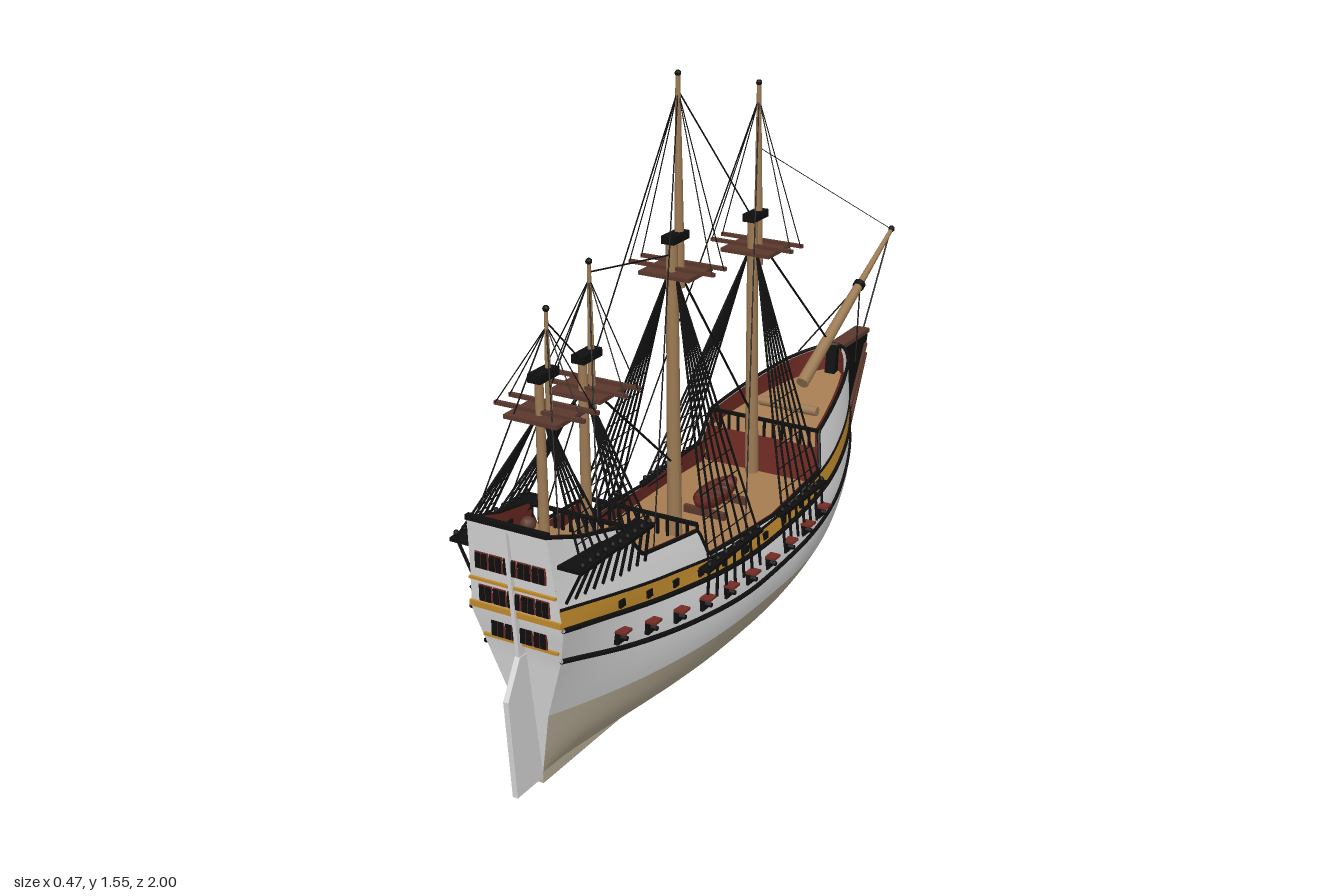
import * as THREE from 'three';
import { mergeGeometries } from 'three/addons/utils/BufferGeometryUtils.js';

const mat = (name, color, side = THREE.DoubleSide) => Object.assign(new THREE.MeshStandardMaterial({ color, side }), { name });
const M = {
  white: mat('hull white', 0xd9d9d9), bottom: mat('bottom beige', 0xb9ae97), gold: mat('gold', 0xc08a2c),
  black: mat('tarred black', 0x100f0f), red: mat('dark red', 0x732c25), deck: mat('deck tan', 0xa67d52),
  wood: mat('spar wood', 0x9c7a54), brown: mat('dark brown', 0x5a382d),
};
const V = (x, y, z) => new THREE.Vector3(x, y, z);
const lerp = THREE.MathUtils.lerp, clamp = THREE.MathUtils.clamp;

// Interpolate through [t, value] pairs; smooth = cubic, otherwise straight
function curve(p, smooth = true) {
  const slope = i => {
    const a = p[Math.max(0, i - 1)], b = p[Math.min(p.length - 1, i + 1)];
    return (b[1] - a[1]) / (b[0] - a[0]);
  };
  return t => {
    t = clamp(t, p[0][0], p[p.length - 1][0]);
    let i = 0;
    while (i < p.length - 2 && t > p[i + 1][0]) i++;
    const h = p[i + 1][0] - p[i][0], s = (t - p[i][0]) / h, y0 = p[i][1], y1 = p[i + 1][1];
    if (!smooth) return lerp(y0, y1, s);
    const s2 = s * s, s3 = s2 * s;
    return y0 * (2 * s3 - 3 * s2 + 1) + y1 * (3 * s2 - 2 * s3) + h * (slope(i) * (s3 - 2 * s2 + s) + slope(i + 1) * (s3 - s2));
  };
}

// Hull lines: stem and stern profile, greatest beam and transom width by height
const stemZ = curve([[0.03, -0.29], [0.06, -0.37], [0.12, -0.46], [0.2, -0.54], [0.4, -0.61], [0.6, -0.64], [0.7, -0.645]]);
const sternZ = curve([[0.03, 0.88], [0.36, 0.925], [0.45, 0.945], [0.69, 0.972]], false);
const beam = curve([[0.03, 0.015], [0.05, 0.07], [0.11, 0.15], [0.19, 0.197], [0.25, 0.21], [0.32, 0.209], [0.4, 0.195], [0.5, 0.176], [0.6, 0.152], [0.7, 0.132]]);
const transomW = curve([[0.03, 0.008], [0.2, 0.045], [0.36, 0.1], [0.45, 0.123], [0.55, 0.113], [0.7, 0.104]], false);
function widthU(u, y) {
  const low = clamp((0.32 - y) / 0.29, 0, 1);
  const s = clamp(u / lerp(0.37, 0.5, low), 0, 1);
  const bow = Math.pow(1 - (1 - s) * (1 - s), lerp(0.55, 0.85, low));
  const a = clamp((u - 0.5) / 0.5, 0, 1);
  return lerp(beam(y) * bow, transomW(y), Math.pow(a, 2.2));
}
const zAt = (u, y) => lerp(stemZ(y), sternZ(y), u);
const uOf = (z, y) => clamp((z - stemZ(y)) / (sternZ(y) - stemZ(y)), 0, 1);
const half = (z, y) => widthU(uOf(z, y), y);
const nomZ = u => lerp(-0.63, 0.955, u), nomU = z => (z + 0.63) / 1.585;

// Lines along the hull side, by z
const lowWale = curve([[-0.63, 0.43], [-0.45, 0.365], [-0.2, 0.3], [0.2, 0.27], [0.5, 0.288], [0.75, 0.32], [0.955, 0.365]]);
const goldLo = curve([[-0.63, 0.462], [-0.4, 0.41], [-0.2, 0.378], [0.2, 0.358], [0.6, 0.394], [0.955, 0.455]]);
const goldHi = curve([[-0.63, 0.527], [-0.4, 0.462], [-0.2, 0.426], [0.2, 0.4], [0.6, 0.446], [0.955, 0.505]]);
const sheerPts = [[-0.63, 0.6], [-0.5, 0.583], [-0.35, 0.555], [-0.2, 0.525], [-0.17, 0.432], [0.1, 0.41], [0.42, 0.43], [0.45, 0.502], [0.66, 0.525], [0.72, 0.615], [0.85, 0.645], [0.955, 0.685]];
const sheer = curve(sheerPts, false);
const deckY = z => z < -0.2 ? lerp(0.475, 0.535, (-0.2 - z) / 0.43) : z < 0.435 ? 0.37 : z < 0.69 ? 0.465 : lerp(0.555, 0.6, (z - 0.69) / 0.27);
const US = [...Array.from({ length: 61 }, (_, i) => Math.pow(i / 60, 1.5)), ...sheerPts.map(p => nomU(p[0]))].sort((a, b) => a - b);

// Grid surface from a function of column and row
function grid(nu, nv, fn, flip) {
  const pos = [], idx = [];
  for (let i = 0; i <= nu; i++) for (let j = 0; j <= nv; j++) pos.push(...fn(i, j / nv));
  for (let i = 0; i < nu; i++) for (let j = 0; j < nv; j++) {
    const a = i * (nv + 1) + j, b = a + nv + 1;
    flip ? idx.push(a, b, a + 1, a + 1, b, b + 1) : idx.push(a, a + 1, b, a + 1, b + 1, b);
  }
  const g = new THREE.BufferGeometry();
  g.setAttribute('position', new THREE.Float32BufferAttribute(pos, 3));
  g.setIndex(idx);
  g.computeVertexNormals();
  return g;
}

export function createModel() {
  const ship = new THREE.Group();
  ship.name = 'sailingShip';
  const add = (name, geo, m) => {
    const mesh = new THREE.Mesh(Array.isArray(geo) ? mergeGeometries(geo) : geo, m);
    mesh.name = name;
    ship.add(mesh);
    return mesh;
  };
  const box = (w, h, d, x, y, z) => new THREE.BoxGeometry(w, h, d).translate(x, y, z);
  const spar = (a, b, r0, r1 = r0, n = 12) => {
    const d = b.clone().sub(a);
    return new THREE.CylinderGeometry(r1, r0, d.length(), n)
      .applyQuaternion(new THREE.Quaternion().setFromUnitVectors(V(0, 1, 0), d.clone().normalize()))
      .translate((a.x + b.x) / 2, (a.y + b.y) / 2, (a.z + b.z) / 2);
  };
  const ropes = [];
  const rope = (a, b, r = 0.0022) => ropes.push(spar(a, b, r, r, 5));

  // Hull shell in painted strakes
  const strake = (name, lo, hi, rows, m, inset = 0) => add(name, [1, -1].map(s => grid(US.length - 1, rows, (i, v) => {
    const u = US[i], z = nomZ(u), y = lerp(lo(z), hi(z), v);
    return [s * Math.max(0, widthU(u, y) - inset), y, zAt(u, y) + (inset ? inset * (1 - 2 * u) : 0)];
  }, (s < 0) !== inset > 0)), m);
  strake('lowerHull', () => 0.03, () => 0.2, 12, M.bottom);
  strake('upperHull', () => 0.2, goldLo, 8, M.white);
  strake('goldBand', goldLo, goldHi, 2, M.gold);
  strake('bulwark', goldHi, sheer, 3, M.white);
  strake('bulwarkLining', z => Math.min(deckY(z), sheer(z)) - 0.02, sheer, 2, M.red, 0.01);

  // Wales and cap rail
  for (const [name, line, r] of [['lowerWale', lowWale, 0.007], ['upperWale', goldLo, 0.007], ['goldTrim', goldHi, 0.004], ['capRail', sheer, 0.005]])
    add(name, [1, -1].map(s => new THREE.TubeGeometry(new THREE.CatmullRomCurve3(US.filter((u, i) => i === 0 || u - US[i - 1] > 0.002).map(u => {
      const y = line(nomZ(u));
      return V(s * widthU(u, y), y, zAt(u, y));
    }), false, 'centripetal'), 110, r, 6)), M.black);

  // Transom
  add('transom', grid(24, 2, (i, v) => {
    const y = lerp(0.03, 0.685, i / 24);
    return [lerp(-1, 1, v) * transomW(y), y, sternZ(y)];
  }), M.white);
  const panes = [], frames = [], trims = [];
  for (const [y, xs] of [[0.585, 5], [0.5, 5], [0.412, 4]]) for (let i = 0; i < xs; i++) {
    const x = (i - (xs - 1) / 2) * 0.038;
    for (const k of [-0.0085, 0.0085]) panes.push(box(0.013, 0.036, 0.005, x + k, y, sternZ(y) + 0.005));
    frames.push(box(0.035, 0.041, 0.004, x, y, sternZ(y) + 0.002));
  }
  for (const [y, w, h] of [[0.535, 0.23, 0.006], [0.467, 0.244, 0.014], [0.387, 0.2, 0.007]])
    trims.push(box(w, h, 0.008, 0, y, sternZ(y) + 0.003));
  add('sternWindows', panes, M.black);
  add('sternWindowFrames', frames, M.red);
  add('sternTrim', trims, M.gold);
  add('taffrail', box(0.215, 0.012, 0.014, 0, 0.687, 0.968), M.black);

  // Keel, rudder and beak, cut as plates in the z-y plane
  const plate = (pts, t) => new THREE.ExtrudeGeometry(new THREE.Shape(pts.map(p => new THREE.Vector2(-p[0], p[1]))), { depth: t, bevelEnabled: false })
    .translate(0, 0, -t / 2).rotateY(Math.PI / 2);
  add('keel', box(0.016, 0.036, 1.16, 0, 0.018, 0.3), M.bottom);
  add('rudder', plate([[0.87, 0.015], [0.98, 0.015], [1.0, 0.27], [0.95, 0.36], [0.92, 0.36]], 0.014), M.white);
  add('sternPost', plate([[0.965, 0.66], [0.98, 0.68], [0.95, 0.36], [0.89, 0.03], [0.87, 0.03], [0.92, 0.36]], 0.01), M.white);
  add('beak', plate([[-0.6, 0.6], [-0.81, 0.592], [-0.79, 0.52], [-0.72, 0.385], [-0.6, 0.235], [-0.5, 0.145], [-0.54, 0.25]], 0.03), M.black);
  add('beakPlatform', box(0.045, 0.012, 0.17, 0, 0.598, -0.72), M.brown);
  const headRails = [];
  for (const s of [1, -1]) for (const dy of [0, 0.05])
    headRails.push(spar(V(s * (half(-0.53, 0.43) + 0.003), 0.42 + dy, -0.53), V(s * 0.018, 0.53 + dy * 0.6, -0.79), 0.005, 0.005, 6));
  add('headRails', headRails, M.brown);

  // Decks and bulkheads
  const decks = [[-0.635, -0.2], [-0.205, 0.435], [0.435, 0.69], [0.69, 0.962]].map(([z0, z1], k) => grid(24, 2, (i, v) => {
    const z = lerp(z0, z1, i / 24), y = k === 1 ? 0.37 : deckY(clamp(z, z0 + (k ? 1e-4 : 0), z1 - 1e-4));
    return [lerp(-1, 1, v) * Math.max(0, half(z, y) - 0.006), y, z];
  }));
  add('decks', decks, M.deck);
  add('bulkheads', [[-0.2, 0.37, 0.475], [0.435, 0.37, 0.465], [0.69, 0.465, 0.555]].map(([z, a, b]) => grid(4, 1, (i, v) => {
    const y = lerp(a, b, i / 4);
    return [lerp(-1, 1, v) * (half(z, y) - 0.006), y, z];
  })), M.red);
  const rails = [];
  for (const [z, y] of [[-0.2, 0.475], [0.44, 0.465], [0.695, 0.555]]) {
    const w = half(z, y) - 0.012;
    rails.push(box(w * 2, 0.008, 0.01, 0, y + 0.048, z));
    for (let i = 0; i <= 12; i++) rails.push(box(0.006, 0.048, 0.006, lerp(-w, w, i / 12), y + 0.024, z));
  }
  add('deckRailings', rails, M.black);

  // Deck fittings
  const bars = [box(0.06, 0.012, 0.06, 0, 0.471, 0.545)];
  for (let i = 0; i < 7; i++) bars.push(box(0.11, 0.014, 0.008, 0, 0.376, 0.325 + i * 0.014));
  add('hatchGratings', bars, M.black);
  add('windlass', spar(V(-0.088, 0.515, -0.34), V(0.088, 0.515, -0.34), 0.013), M.wood);
  add('boat', new THREE.SphereGeometry(1, 20, 8, 0, Math.PI * 2, Math.PI / 2, Math.PI / 2).scale(0.038, 0.045, 0.095).translate(0, 0.425, 0.065), M.red);
  add('boatThwarts', [0, 1, 2, 3].map(i => box(0.06, 0.005, 0.01, 0, 0.419, 0.02 + i * 0.03)), M.brown);
  add('boatCradle', [0.01, 0.12].map(z => box(0.12, 0.02, 0.012, 0, 0.38, z)), M.brown);
  add('sternLantern', new THREE.SphereGeometry(0.018, 10, 8).translate(0, 0.66, 0.89), M.brown);

  // Gun ports with raised lids
  const ports = [], lids = [];
  for (const s of [1, -1]) {
    for (let i = 0; i < 10; i++) {
      const z = 0.755 - i * 0.0985, y = lowWale(z) + 0.037, x = half(z, y);
      ports.push(box(0.012, 0.03, 0.03, s * x, y, z), spar(V(s * x, y, z), V(s * (x + 0.022), y, z), 0.007, 0.006, 8));
      lids.push(box(0.028, 0.006, 0.032, s * (x + 0.012), y + 0.018, z));
      const yg = (goldLo(z) + goldHi(z)) / 2;
      ports.push(box(0.01, 0.018, 0.02, s * half(z, yg), yg, z));
    }
  }
  add('gunPorts', ports, M.black);
  add('gunPortLids', lids, M.red);

  // Masts: lower mast, topmast, cap, top platform, crosstrees, shrouds and backstays
  const masts = [
    { name: 'fore', z: -0.13, foot: 0.4, head: 1.11, tz: -0.16, t0: 0.97, t1: 1.445, top: 1.03, r: 0.018, base: [-0.14, 0.08], by: 0.405, n: 7, aft: 0.25 },
    { name: 'main', z: 0.27, foot: 0.37, head: 1.155, tz: 0.235, t0: 1.02, t1: 1.54, top: 1.078, r: 0.019, base: [0.21, 0.45], by: 0.41, n: 7, aft: 0.62 },
    { name: 'mizzen', z: 0.66, foot: 0.46, head: 0.98, tz: 0.625, t0: 0.84, t1: 1.19, top: 0.905, r: 0.014, base: [0.66, 0.78], by: 0.6, n: 5, aft: 0.8 },
    { name: 'bonaventure', z: 0.83, foot: 0.56, head: 0.99, tz: 0.795, t0: 0.85, t1: 1.13, top: 0.905, r: 0.013, base: [0.81, 0.93], by: 0.605, n: 5, aft: 0.93 },
  ];
  for (const m of masts) {
    add(m.name + 'Mast', [spar(V(0, m.foot, m.z), V(0, m.head, m.z), m.r, m.r * 0.75), spar(V(0, m.t0, m.tz), V(0, m.t1, m.tz), m.r * 0.7, m.r * 0.3)], M.wood);
    const zc = (m.z + m.tz) / 2;
    add(m.name + 'Cap', [box(0.034, 0.02, 0.075, 0, m.head - 0.005, zc), new THREE.SphereGeometry(0.008, 8, 6).translate(0, m.t1, m.tz)], M.black);
    add(m.name + 'Top', box(0.14, 0.01, 0.115, 0, m.top - 0.012, zc), M.brown);
    add(m.name + 'Crosstrees', [-0.035, 0.02].map(d => box(0.236, 0.009, 0.01, 0, m.top, zc + d)), M.brown);
    const high = m.by > 0.5, xb = high ? 0.168 : 0.204, [b0, b1] = m.base;
    for (const s of [1, -1]) {
      const h = half((b0 + b1) / 2, m.by);
      add(m.name + 'Channel', box(xb + 0.008 - h + 0.01, 0.009, b1 - b0 + 0.03, s * (xb + 0.008 + h - 0.01) / 2, m.by, (b0 + b1) / 2), M.black);
      const foot = f => V(s * xb, m.by, lerp(b0, b1, f)), tip = V(s * 0.012, m.top - 0.02, m.z);
      for (let i = 0; i < m.n; i++) {
        const p = foot(i / (m.n - 1)), yl = m.by - 0.09;
        rope(p, tip, 0.003);
        rope(p, V(s * (half(p.z, yl) + 0.003), yl, p.z), 0.004);
        ropes.push(new THREE.SphereGeometry(0.007, 6, 5).translate(p.x, p.y + 0.012, p.z));
      }
      for (let k = 1; k <= 9; k++) rope(foot(0).lerp(tip, k / 12), foot(1).lerp(tip, k / 12), 0.0014);
      const peak = V(0, m.t1 - 0.04, m.tz);
      for (const d of [-0.03, 0.025]) rope(peak, V(s * 0.115, m.top, zc + d), 0.0014);
      rope(peak, V(s * half(m.aft, sheer(m.aft)), sheer(m.aft), m.aft), 0.0018);
    }
  }

  // Bowsprit
  const b0 = V(0, 0.555, -0.42), b1 = V(0, 0.745, -0.78), b2 = V(0, 0.855, -0.99);
  add('bowsprit', [spar(b0, b1, 0.018, 0.013), spar(b1.clone().lerp(b0, 0.15), b2, 0.011, 0.006)], M.wood);
  add('bowspritBands', [spar(b1.clone().lerp(b0, 0.04), b1, 0.017), new THREE.SphereGeometry(0.01, 8, 6).translate(0, 0.855, -0.988)], M.black);

  // Stays
  for (const [y0, z0, y1, z1, r] of [
    [1.28, -0.16, 0.855, -0.985, 0.001], [1.06, -0.14, 0.64, -0.57, 0.003], [1.5, 0.235, 1.09, -0.14, 0.002],
    [1.09, 0.26, 0.58, -0.12, 0.003], [1.165, 0.625, 1.11, 0.265, 0.002], [0.91, 0.65, 0.58, 0.28, 0.003],
    [1.1, 0.795, 0.96, 0.655, 0.002], [0.91, 0.82, 0.6, 0.65, 0.003], [0.855, -0.98, 0.57, -0.79, 0.0025],
  ]) rope(V(0, y0, z0), V(0, y1, z1), r);
  for (const s of [1, -1]) rope(b1, V(s * 0.09, 0.585, -0.57), 0.0022);
  add('rigging', ropes, M.black);
  return ship;
}
